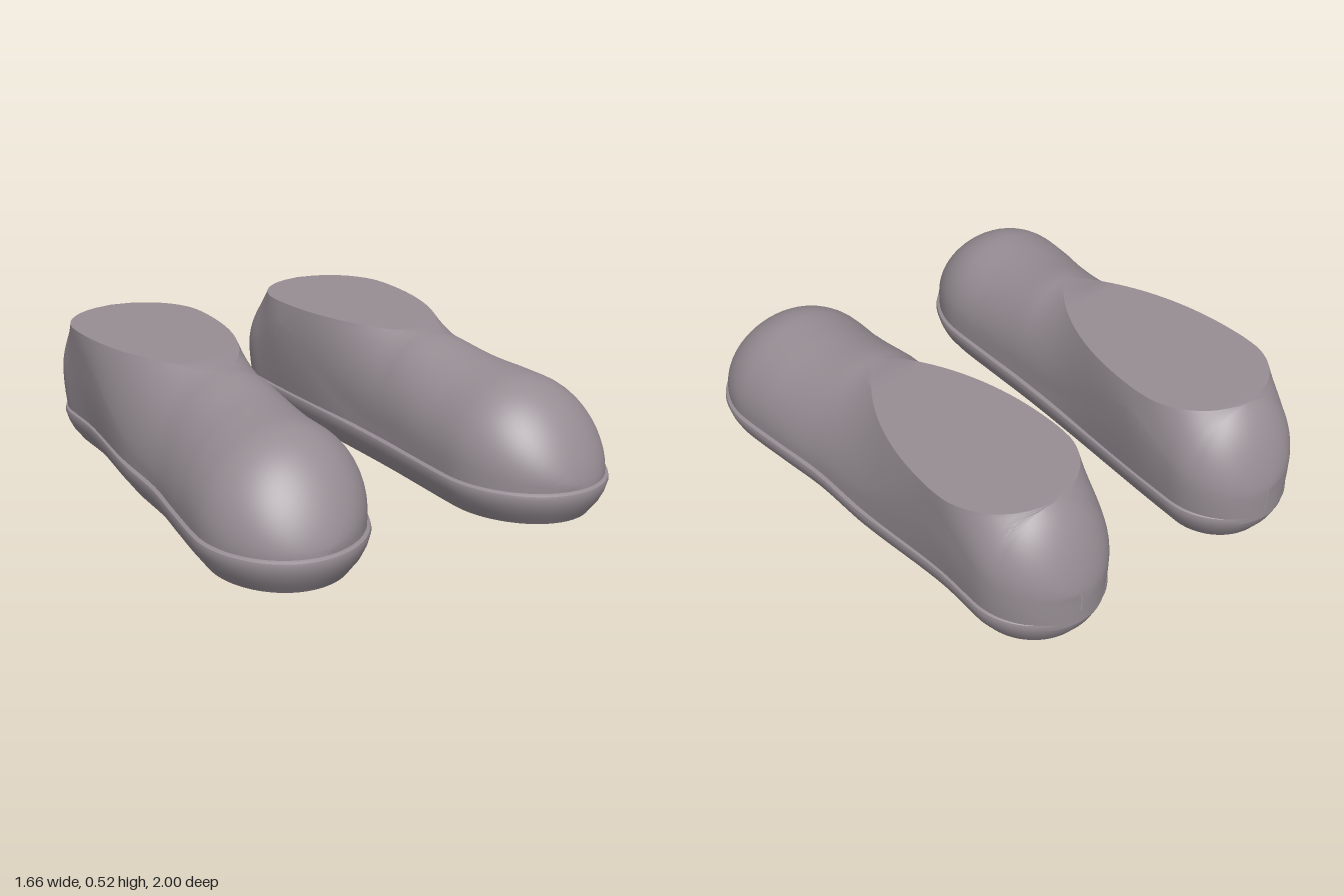
import * as THREE from 'three';
import { toCreasedNormals } from 'three/addons/utils/BufferGeometryUtils.js';

// Body before rounding its ends:
// z, centre x, half width, height of widest point, top, half width at the foot
const BODY = [
  [-1, 0.435, 0.26, 0.22, 0.56, 0.24],
  [-0.75, 0.44, 0.26, 0.3, 0.56, 0.243],
  [-0.52, 0.443, 0.279, 0.43, 0.56, 0.243],
  [-0.1, 0.474, 0.266, 0.22, 0.54, 0.262],
  [0.18, 0.483, 0.268, 0.18, 0.526, 0.267],
  [0.4, 0.497, 0.286, 0.18, 0.491, 0.284],
  [0.63, 0.511, 0.302, 0.18, 0.48, 0.3],
  [0.985, 0.53, 0.302, 0.14, 0.48, 0.3],
];
const HEEL = -1, TOE = 0.985, OPENING = 0.525;
const STEPS = 100;

// Smooth value of the body table at z
function bodyAt(z) {
  const i = Math.max(0, BODY.findIndex((row) => row[0] >= z) - 1);
  const p = BODY[i], q = BODY[i + 1], dz = q[0] - p[0], t = (z - p[0]) / dz;
  const slope = (n, k) => {
    const a = BODY[Math.max(n - 1, 0)], b = BODY[Math.min(n + 1, BODY.length - 1)];
    return (b[k] - a[k]) / (b[0] - a[0]);
  };
  return p.map((v, k) => v + (q[k] - v) * t * t * (3 - 2 * t)
    + dz * t * (1 - t) * (slope(i, k) * (1 - t) - slope(i + 1, k) * t));
}

// Half width of the teardrop ankle opening
function openingAt(z) {
  if (z <= -0.84 || z >= 0.18) return 0;
  if (z < -0.56) return 0.274 * Math.sqrt(1 - ((z + 0.56) / 0.28) ** 2);
  return 0.274 * (1 - ((z + 0.56) / 0.74) ** 2.2) ** 0.8;
}

// Body section with rounded heel and toe
function sectionAt(z) {
  const [, cx, width, wide, crown, foot] = bodyAt(z);
  const d = z < -0.74 ? (z + 0.74) / 0.26 : Math.max(0, (z - 0.63) / (TOE - 0.63));
  const round = Math.sqrt(Math.max(0, 1 - d * d));
  const w = Math.max(0.001, width * round);
  const top = Math.min(OPENING, wide + 0.01 + (crown - wide - 0.01) * round ** 1.5);
  return { z, cx, w, wide, top, foot: foot * round, round, flat: Math.min(openingAt(z), 0.985 * w) };
}

// Sections heel to toe, closer together at the ends
const sections = Array.from({ length: STEPS + 1 }, (_, i) => {
  const t = (1 - Math.cos(Math.PI * i / STEPS)) / 2;
  return sectionAt(HEEL + (TOE - HEEL) * t);
});

// Skin a grid of points; side = -1 mirrors it across x = 0
function skin(rows, side) {
  const n = rows[0].length, index = [];
  const position = rows.flat().flatMap(([x, y, z]) => [x * side, y, z]);
  for (let i = 0; i < rows.length - 1; i++) {
    for (let j = 0; j < n - 1; j++) {
      const a = i * n + j, b = a + 1, c = a + n, d = c + 1;
      if (side > 0) index.push(a, b, c, b, d, c);
      else index.push(a, c, b, b, c, d);
    }
  }
  const geo = new THREE.BufferGeometry();
  geo.setAttribute('position', new THREE.Float32BufferAttribute(position, 3));
  geo.setIndex(index);
  return toCreasedNormals(geo, 0.6);
}

// Upper: elliptical flanks cut off by the flat ankle opening
function upperGeometry(side) {
  const base = 0.1, low = 4, high = 14;
  const rows = sections.map(({ z, cx, w, wide, top, foot, flat }) => {
    const end = Math.acos(flat / w), half = [];
    const topX = cx + (0.45 - cx) * THREE.MathUtils.clamp((0.6 - z) / 0.4, 0.25, 1);
    for (let j = 0; j < low; j++) {
      const t = j / low;
      half.push([cx, foot + (w - foot) * Math.sin(t * Math.PI / 2), base + (wide - base) * t]);
    }
    for (let j = 0; j <= high; j++) {
      const angle = end * j / high, s = Math.sin(angle) / Math.sin(end);
      half.push([cx + (topX - cx) * s, w * Math.cos(angle), wide + (top - wide) * s]);
    }
    const outer = half.map(([c, r, y]) => [c + r, y, z]);
    const inner = half.map(([c, r, y]) => [c - r, y, z]).reverse();
    return [...outer, ...inner];
  });
  return skin(rows, side);
}

// Sole: the foot outline with a lip, stacked in layers that are inset along its normal
function soleGeometry(side) {
  const edge = (sign) => sections.map(({ z, cx, foot, round }) => ({
    cx, x: cx + sign * (foot + 0.016 * round), z: z > 0.63 ? 0.63 + (z - 0.63) * 1.042 : z,
  }));
  const outline = [...edge(1).reverse(), ...edge(-1).slice(1, -1)];
  const count = outline.length;
  const ring = (y, inset, closed) => Array.from({ length: count + 1 }, (_, i) => {
    const p = outline[i % count];
    const a = outline[(i + count - 1) % count], b = outline[(i + 1) % count];
    const dx = b.x - a.x, dz = b.z - a.z, length = Math.hypot(dx, dz);
    return [closed ? p.cx : p.x + dz / length * inset, y, p.z - dx / length * inset];
  });
  const layers = [[0, 0.06], [0.015, 0.05], [0.045, 0.027], [0.08, 0.01],
    [0.115, 0], [0.128, 0.003], [0.14, 0.022]];
  const walls = layers.map(([y, inset]) => ring(y, inset, false));
  return skin([ring(0, 0.06, true), ...walls, ring(0.14, 0.022, true)], side);
}

export function createModel() {
  const model = new THREE.Group();
  model.name = 'pairOfShoes';
  const grey = new THREE.MeshStandardMaterial({ color: 0x968d93 });
  grey.name = 'warmGrey';

  for (const [name, side] of [['leftShoe', 1], ['rightShoe', -1]]) {
    const shoe = new THREE.Group();
    shoe.name = name;
    const upper = new THREE.Mesh(upperGeometry(side), grey);
    upper.name = 'upper';
    const sole = new THREE.Mesh(soleGeometry(side), grey);
    sole.name = 'sole';
    shoe.add(upper, sole);
    model.add(shoe);
  }
  return model;
}
